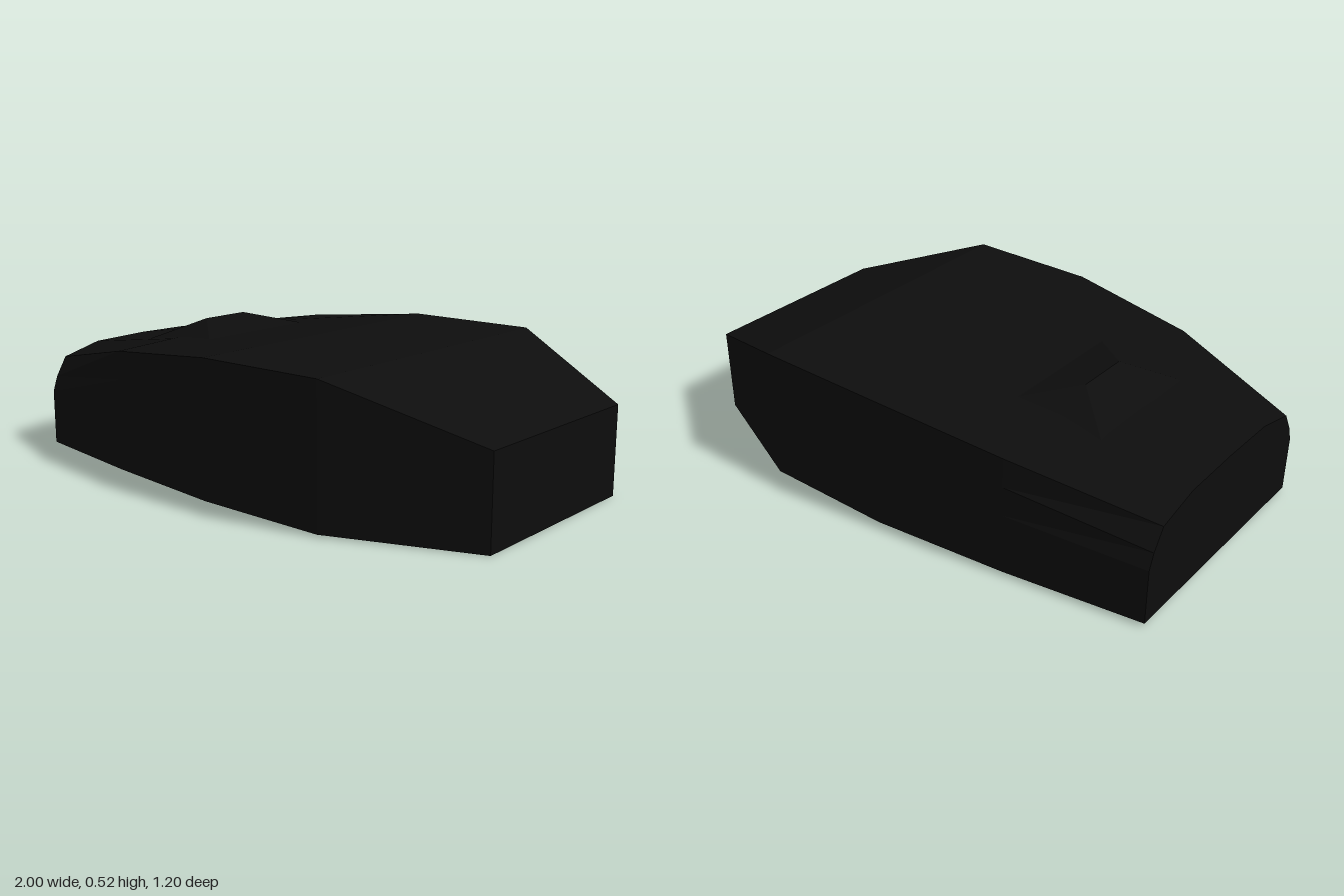
import * as THREE from 'three';

// Faces given as lists of corners, counter-clockwise from outside
function facetedGeometry(faces) {
  const pos = [];
  for (const f of faces)
    for (let k = 1; k < f.length - 1; k++) pos.push(...f[0], ...f[k], ...f[k + 1]);
  const geo = new THREE.BufferGeometry();
  geo.setAttribute('position', new THREE.Float32BufferAttribute(pos, 3));
  geo.computeVertexNormals();
  return geo;
}

// Half section as [z, y] from the bottom edge to the top centre, mirrored to a full ring
function ring(x, half) {
  const left = half.map(([z, y]) => [x, y, z]);
  const right = half.slice(0, -1).reverse().map(([z, y]) => [x, y, -z]);
  return [...left, ...right];
}

export function createModel() {
  const group = new THREE.Group();
  const black = new THREE.MeshStandardMaterial({ color: 0x0d0d0d, flatShading: true });
  black.name = 'black';

  // Body sections: rounded shoulders at the low end, square ones elsewhere
  const rings = [
    ring(-1, [[0.465, 0.012], [0.465, 0.22], [0.445, 0.277], [0.4, 0.35], [0.235, 0.39], [0, 0.395]]),
    ring(-0.5, [[0.545, 0.012], [0.545, 0.24], [0.545, 0.35], [0.54, 0.455], [0.28, 0.465], [0, 0.465]]),
    ring(0, [[0.6, 0.01], [0.6, 0.25], [0.6, 0.38], [0.6, 0.505], [0.3, 0.505], [0, 0.505]]),
    ring(0.5, [[0.6, 0.008], [0.6, 0.25], [0.6, 0.38], [0.6, 0.505], [0.3, 0.505], [0, 0.505]]),
    ring(1, [[0.385, 0], [0.385, 0.16], [0.385, 0.24], [0.385, 0.325], [0.19, 0.325], [0, 0.325]]),
  ];
  const faces = [];
  for (let i = 0; i < rings.length - 1; i++) {
    const a = rings[i], b = rings[i + 1], n = a.length;
    for (let j = 0; j < n; j++) {
      const k = (j + 1) % n;
      faces.push([a[j], b[j], b[k], a[k]]);
    }
  }
  faces.push(rings[0], [...rings[rings.length - 1]].reverse());
  const body = new THREE.Mesh(facetedGeometry(faces), black);
  body.name = 'body';
  group.add(body);

  // Low hipped ridge across the top
  const [r1, r2] = [0.1, -0.1].map(z => [-0.5, 0.52, z]);
  const [l1, l2] = [0.25, -0.25].map(z => [-0.67, 0.438, z]);
  const [h1, h2] = [0.25, -0.25].map(z => [-0.33, 0.478, z]);
  const ridge = new THREE.Mesh(facetedGeometry([
    [l1, r1, r2, l2],
    [h1, h2, r2, r1],
    [l1, h1, r1],
    [h2, l2, r2],
  ]), black);
  ridge.name = 'topRidge';
  group.add(ridge);

  return group;
}
